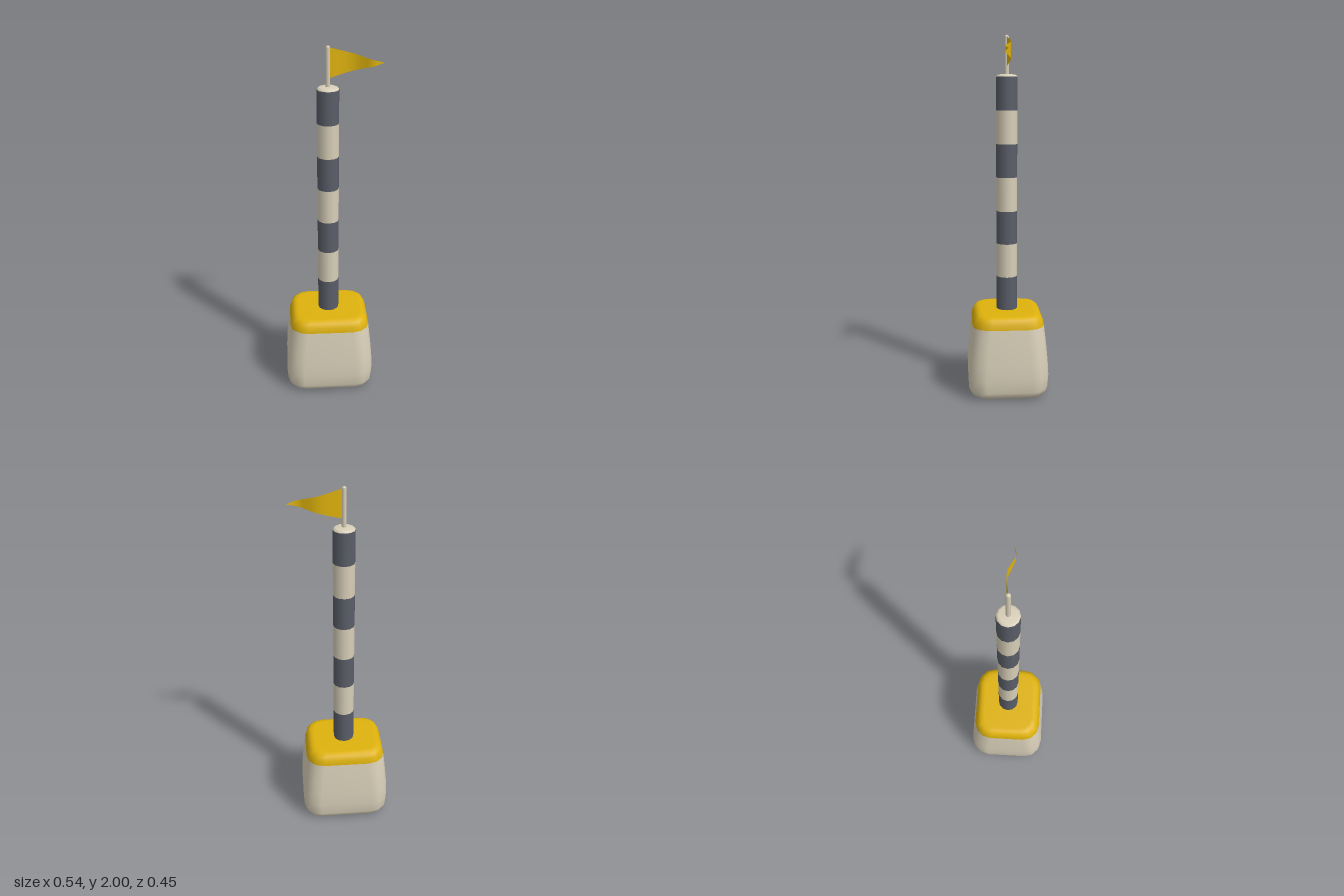
import * as THREE from 'three';

const CX = -0.019; // shared axis of base and pole

const cream = new THREE.MeshStandardMaterial({ color: 0xd8cfb8, name: 'cream' });
const slate = new THREE.MeshStandardMaterial({ color: 0x5a5e68, name: 'slate' });
const yellow = new THREE.MeshStandardMaterial({ color: 0xdeb20c, name: 'yellow' });
const flagYellow = yellow.clone();
flagYellow.name = 'flagYellow';
flagYellow.side = THREE.DoubleSide;

// Rounded-rectangle ring, three segments per corner
function ring(hx, hz, r) {
  const pts = [];
  for (let q = 0; q < 4; q++) {
    const sx = q === 0 || q === 3 ? 1 : -1;
    const sz = q < 2 ? 1 : -1;
    for (let i = 0; i <= 3; i++) {
      const a = (q + i / 3) * Math.PI / 2;
      pts.push([sx * (hx - r) + r * Math.cos(a), sz * (hz - r) + r * Math.sin(a)]);
    }
  }
  return pts;
}

// Soft tapered block; rows above the split ring use the second material
function baseGeometry() {
  // [y, half width in x, corner radius]
  const rows = [
    [0, 0.19, 0.07], [0.006, 0.217, 0.085], [0.022, 0.237, 0.095], [0.05, 0.249, 0.1],
    [0.12, 0.253, 0.1], [0.2, 0.249, 0.1], [0.3, 0.24, 0.1], [0.405, 0.228, 0.1],
    [0.435, 0.222, 0.1], [0.456, 0.21, 0.09], [0.467, 0.195, 0.08], [0.47, 0.175, 0.07],
  ];
  const split = 7, n = 16, pos = [], idx = [];
  for (const [y, h, r] of rows) {
    for (const [x, z] of ring(h, h - 0.027, r)) pos.push(x, y, z);
  }
  const bottom = rows.length * n, top = bottom + 1;
  pos.push(0, 0, 0, 0, 0.47, 0);
  for (let j = 0; j < n; j++) idx.push(bottom, j, (j + 1) % n);
  let lowerCount = 0;
  for (let i = 0; i < rows.length - 1; i++) {
    if (i === split) lowerCount = idx.length;
    for (let j = 0; j < n; j++) {
      const a = i * n + j, b = i * n + (j + 1) % n;
      idx.push(a, a + n, b, b, a + n, b + n);
    }
  }
  const last = (rows.length - 1) * n;
  for (let j = 0; j < n; j++) idx.push(top, last + (j + 1) % n, last + j);
  const g = new THREE.BufferGeometry();
  g.setAttribute('position', new THREE.Float32BufferAttribute(pos, 3));
  g.setIndex(idx);
  g.addGroup(0, lowerCount, 0);
  g.addGroup(lowerCount, idx.length - lowerCount, 1);
  g.computeVertexNormals();
  return g;
}

// Triangular pennant bent along a wave
function pennantGeometry() {
  const wave = new THREE.CatmullRomCurve3([
    [-0.012, 0], [0.03, -0.007], [0.08, -0.014], [0.125, -0.011], [0.165, 0.004],
    [0.2, 0.02], [0.228, 0.022], [0.27, 0.01],
  ].map(([x, z]) => new THREE.Vector3(x, 0, z)));
  const g = new THREE.PlaneGeometry(1, 1, 20, 4);
  const p = g.attributes.position;
  for (let i = 0; i < p.count; i++) {
    const t = p.getX(i) + 0.5;
    const c = wave.getPoint(t);
    const half = 0.155 * (1 - (c.x + 0.012) / 0.282) + 0.001;
    p.setXYZ(i, c.x, 1.912 + p.getY(i) * half, c.z);
  }
  g.computeVertexNormals();
  return g;
}

export function createModel() {
  const model = new THREE.Group();
  model.name = 'stripedFlagPost';
  const add = (name, geometry, material, x = 0, y = 0) => {
    const m = new THREE.Mesh(geometry, material);
    m.name = name;
    m.position.set(x, y, 0);
    model.add(m);
  };

  add('base', baseGeometry(), [cream, yellow], CX);

  // Alternating pole bands
  const edges = [0.46, 0.66, 0.85, 1.035, 1.225, 1.41, 1.595, 1.776];
  for (let i = 0; i < edges.length - 1; i++) {
    const h = edges[i + 1] - edges[i];
    add('poleBand' + (i + 1), new THREE.CylinderGeometry(0.059, 0.059, h, 12, 1, true),
      i % 2 ? cream : slate, CX, edges[i] + h / 2);
  }

  // Slightly domed cap on the pole
  const cap = [[0.059, 1.776], [0.055, 1.784], [0.045, 1.789], [0, 1.791]];
  add('poleCap', new THREE.LatheGeometry(cap.map(([r, y]) => new THREE.Vector2(r, y)), 12), cream, CX);

  // Thin mast with rounded tip
  const mast = [[0.0125, 1.78], [0.0125, 1.99], [0.009, 1.997], [0, 2]];
  add('mast', new THREE.LatheGeometry(mast.map(([r, y]) => new THREE.Vector2(r, y)), 10), cream, CX);

  add('pennant', pennantGeometry(), flagYellow);
  return model;
}
